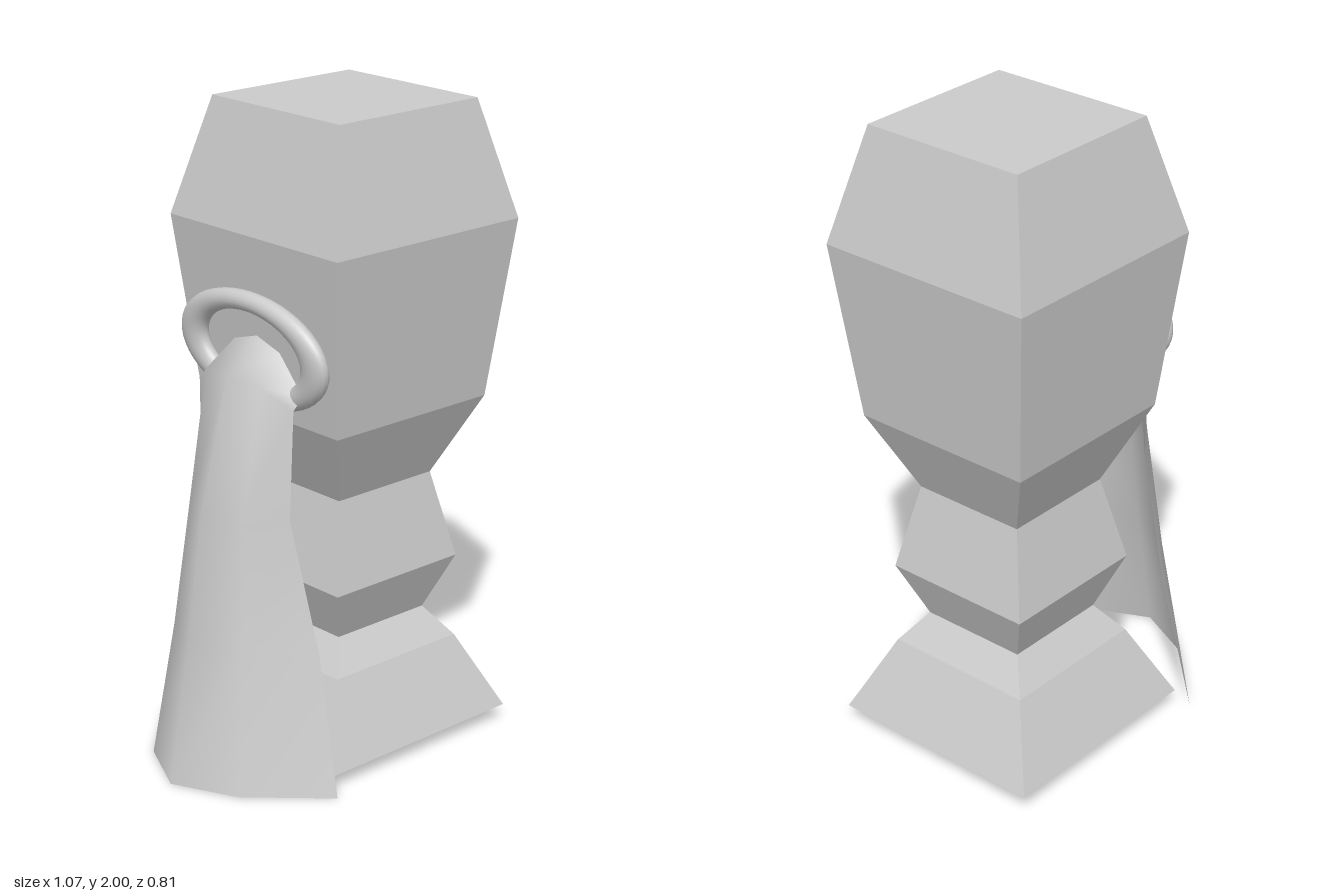
import * as THREE from 'three';

const BODY_X = 0.165;

// Square-section body from [half width, height] pairs
function createBody() {
  const profile = [
    [0, 0.05], [0.364, 0.05], [0.25, 0.29], [0.178, 0.385], [0.25, 0.56],
    [0.19, 0.835], [0.304, 1.085], [0.365, 1.64], [0.274, 2], [0, 2],
  ];
  const points = profile.map(([w, y]) => new THREE.Vector2(w * Math.SQRT2, y));
  const geometry = new THREE.LatheGeometry(points, 4, Math.PI / 4);
  const body = new THREE.Mesh(geometry, new THREE.MeshStandardMaterial({ color: 0xcccccc, flatShading: true }));
  body.name = 'body';
  body.position.x = BODY_X;
  return body;
}

// Oval ring lying against the sloping side of the body
function createRing() {
  const geometry = new THREE.TorusGeometry(0.15, 0.03, 16, 48);
  geometry.rotateY(Math.PI / 2);
  geometry.scale(1, 1, 1.77);
  const ring = new THREE.Mesh(geometry, new THREE.MeshStandardMaterial({ color: 0xcccccc }));
  ring.name = 'capeRing';
  ring.position.set(-0.193, 1.3, 0);
  ring.rotation.z = 0.108;
  return ring;
}

// Open curved sheet: each row is edge, middle and centre, mirrored in z
function createCape() {
  const rows = [
    [[-0.225, 0, 0.405], [-0.44, 0, 0.2], [-0.535, 0, 0]],
    [[-0.205, 0.43, 0.3], [-0.38, 0.43, 0.16], [-0.457, 0.43, 0]],
    [[-0.23, 0.83, 0.2], [-0.345, 0.83, 0.12], [-0.4, 0.83, 0]],
    [[-0.225, 1.17, 0.21], [-0.275, 1.23, 0.12], [-0.295, 1.24, 0]],
    [[-0.18, 1.2, 0.2], [-0.18, 1.31, 0.1], [-0.18, 1.34, 0]],
  ];
  const positions = [];
  const indices = [];
  const columns = 5;
  rows.forEach(([edge, middle, centre], i) => {
    const mirror = ([x, y, z]) => [x, y, -z];
    positions.push(...edge, ...middle, ...centre, ...mirror(middle), ...mirror(edge));
    if (i === rows.length - 1) return;
    for (let j = 0; j < columns - 1; j++) {
      const a = i * columns + j;
      const c = a + columns;
      indices.push(a, c, a + 1, a + 1, c, c + 1);
    }
  });
  const geometry = new THREE.BufferGeometry();
  geometry.setAttribute('position', new THREE.Float32BufferAttribute(positions, 3));
  geometry.setIndex(indices);
  geometry.computeVertexNormals();
  const cape = new THREE.Mesh(geometry, new THREE.MeshStandardMaterial({ color: 0xcccccc, side: THREE.DoubleSide }));
  cape.name = 'cape';
  return cape;
}

export function createModel() {
  const model = new THREE.Group();
  model.name = 'capedFigure';
  model.add(createBody(), createRing(), createCape());
  return model;
}
